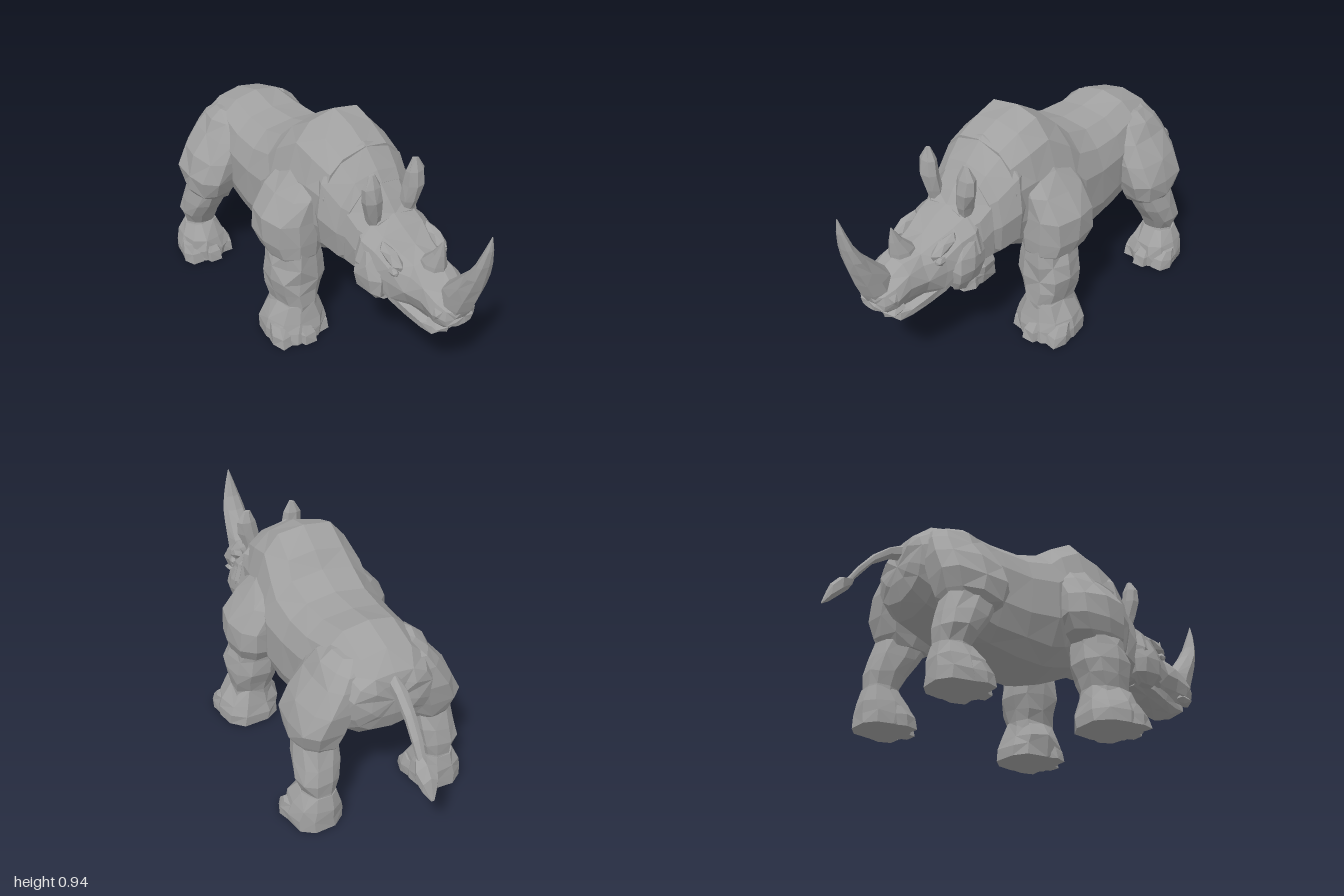
import * as THREE from 'three';

const hide = new THREE.MeshStandardMaterial({ color: 0xa0a0a0, flatShading: true });
hide.name = 'greyHide';

// Small repeatable unevenness, the same on both sides of the body
const noise = (x, y, z, k) => {
  const v = Math.sin(Math.abs(x) * 127.1 + y * 311.7 + z * 74.7 + k * 19.3) * 43758.5;
  return v - Math.floor(v) - 0.5;
};
const power = (v, p) => Math.sign(v) * Math.pow(Math.abs(v), p);

// Cross-section facing z: [z, yBottom, yTop, halfWidth]
function ringZ([z, y0, y1, w], n, p) {
  return Array.from({ length: n }, (_, i) => {
    const a = (i + 0.5) / n * Math.PI * 2 + (n % 4 ? 0 : Math.PI / n);
    return [power(Math.cos(a), p) * w, (y0 + y1) / 2 + power(Math.sin(a), p) * (y1 - y0) / 2, z];
  });
}
// Cross-section facing y: [y, xInner, xOuter, zBack, zFront]; s picks the side
function ringY([y, x0, x1, z0, z1], n, p, s) {
  return Array.from({ length: n }, (_, i) => {
    const a = i / n * Math.PI * 2;
    return [s * (x0 + x1) / 2 + power(Math.cos(a), p) * (x1 - x0) / 2, y,
      (z0 + z1) / 2 - power(Math.sin(a), p) * (z1 - z0) / 2];
  });
}

// Skin a row of rings and close both ends
function loft(name, rings, rough) {
  const pos = [], n = rings[0].length;
  const pts = rings.map(r => r.map(([x, y, z]) => [
    x + Math.sign(x) * noise(x, y, z, 1) * rough,
    y + (y > 0.01 ? noise(x, y, z, 2) * rough : 0),
    z + noise(x, y, z, 3) * rough]));
  const mid = r => [0, 1, 2].map(k => r.reduce((t, q) => t + q[k], 0) / n);
  const tri = (a, b, c) => pos.push(...a, ...b, ...c);
  for (let j = 0; j < pts.length - 1; j++) {
    for (let i = 0; i < n; i++) {
      const k = (i + 1) % n, A = pts[j], B = pts[j + 1];
      if ((i + j) % 2) { tri(A[i], A[k], B[k]); tri(A[i], B[k], B[i]); }
      else { tri(A[i], A[k], B[i]); tri(A[k], B[k], B[i]); }
    }
  }
  const first = pts[0], last = pts[pts.length - 1], c0 = mid(first), c1 = mid(last);
  for (let i = 0; i < n; i++) {
    const k = (i + 1) % n;
    tri(c0, first[k], first[i]);
    tri(c1, last[i], last[k]);
  }
  const g = new THREE.BufferGeometry();
  g.setAttribute('position', new THREE.Float32BufferAttribute(pos, 3));
  g.computeVertexNormals();
  const m = new THREE.Mesh(g, hide);
  m.name = name;
  return m;
}
const alongZ = (name, rows, n = 12, p = 0.85, rough = 0.014) =>
  loft(name, rows.map(r => ringZ(r, n, p)), rough);
const alongY = (name, rows, s = 1, n = 10, p = 0.8, rough = 0.014) =>
  loft(name, rows.map(r => ringY(r, n, p, s)), rough);

function lump(name, x, y, z, sx, sy, sz, tilt = 0) {
  const m = new THREE.Mesh(new THREE.IcosahedronGeometry(1, 0), hide);
  m.name = name;
  m.position.set(x, y, z);
  m.scale.set(sx, sy, sz);
  m.rotation.x = tilt;
  return m;
}

export function createModel() {
  const rhino = new THREE.Group();
  rhino.name = 'rhinoceros';

  // Body with shoulder hump, sagging belly and raised rump
  rhino.add(alongZ('torso', [
    [-0.7, 0.52, 0.67, 0.1], [-0.68, 0.45, 0.71, 0.17], [-0.62, 0.39, 0.77, 0.2],
    [-0.47, 0.33, 0.815, 0.21], [-0.33, 0.29, 0.78, 0.235], [-0.2, 0.265, 0.785, 0.25],
    [-0.07, 0.248, 0.815, 0.26], [-0.01, 0.255, 0.88, 0.25], [0.1, 0.29, 0.945, 0.235],
    [0.2, 0.34, 0.915, 0.23], [0.3, 0.38, 0.865, 0.21],
  ], 14, 0.8));

  // Neck folds and head
  rhino.add(alongZ('neckFold', [
    [0.24, 0.38, 0.87, 0.21], [0.29, 0.36, 0.87, 0.225], [0.37, 0.355, 0.78, 0.2], [0.4, 0.38, 0.74, 0.17]]));
  rhino.add(alongZ('neck', [
    [0.33, 0.38, 0.76, 0.17], [0.39, 0.35, 0.755, 0.18], [0.45, 0.34, 0.69, 0.17], [0.49, 0.36, 0.64, 0.15]]));
  rhino.add(alongZ('head', [
    [0.42, 0.37, 0.67, 0.15], [0.48, 0.34, 0.65, 0.185], [0.55, 0.33, 0.615, 0.17],
    [0.62, 0.32, 0.57, 0.145], [0.69, 0.32, 0.55, 0.112], [0.77, 0.325, 0.535, 0.1],
    [0.83, 0.32, 0.5, 0.1], [0.88, 0.34, 0.46, 0.08], [0.905, 0.37, 0.43, 0.05]]));
  rhino.add(alongZ('lowerJaw', [
    [0.5, 0.345, 0.41, 0.11], [0.6, 0.31, 0.39, 0.11], [0.69, 0.285, 0.37, 0.1],
    [0.76, 0.262, 0.345, 0.09], [0.81, 0.275, 0.335, 0.08], [0.85, 0.31, 0.34, 0.05]], 10));

  // Horns, wide at the base and swept forward to a point
  rhino.add(alongY('frontHorn', [
    [0.385, -0.06, 0.06, 0.8, 0.9], [0.44, -0.068, 0.068, 0.78, 0.93], [0.5, -0.067, 0.067, 0.8, 0.953],
    [0.56, -0.062, 0.062, 0.855, 0.97], [0.62, -0.055, 0.055, 0.908, 0.982],
    [0.68, -0.04, 0.04, 0.945, 0.992], [0.75, -0.02, 0.02, 0.97, 0.998], [0.81, -0.001, 0.001, 0.99, 0.994]],
  1, 8, 1, 0));
  rhino.add(alongY('rearHorn', [
    [0.49, -0.055, 0.055, 0.64, 0.78], [0.55, -0.045, 0.045, 0.67, 0.78],
    [0.6, -0.024, 0.024, 0.72, 0.777], [0.665, -0.001, 0.001, 0.764, 0.767]], 1, 8, 1, 0));

  // Tail curving down to a tuft
  rhino.add(alongZ('tail', [
    [-0.91, 0.43, 0.475, 0.018], [-0.87, 0.49, 0.535, 0.022], [-0.81, 0.565, 0.61, 0.026],
    [-0.74, 0.615, 0.67, 0.027], [-0.66, 0.63, 0.71, 0.03]], 6, 1, 0.004));
  rhino.add(alongZ('tailTuft', [
    [-1, 0.335, 0.345, 0.008], [-0.975, 0.35, 0.425, 0.035], [-0.94, 0.385, 0.465, 0.05],
    [-0.9, 0.425, 0.475, 0.025], [-0.885, 0.455, 0.485, 0.015]], 6, 1, 0.003));

  for (const s of [1, -1]) {
    // Face details
    rhino.add(alongY('ear', [
      [0.61, 0.06, 0.11, 0.43, 0.49], [0.67, 0.055, 0.13, 0.435, 0.505], [0.74, 0.06, 0.155, 0.44, 0.515],
      [0.8, 0.07, 0.157, 0.445, 0.505], [0.85, 0.095, 0.125, 0.465, 0.48]], s, 7, 1, 0.006));
    rhino.add(lump('brow', s * 0.115, 0.555, 0.61, 0.03, 0.025, 0.08, 0.45));
    rhino.add(lump('eye', s * 0.128, 0.505, 0.64, 0.017, 0.018, 0.028));
    rhino.add(alongY('jowl', [
      [0.335, 0.1, 0.145, 0.5, 0.58], [0.38, 0.09, 0.185, 0.455, 0.6], [0.44, 0.09, 0.2, 0.44, 0.6],
      [0.49, 0.09, 0.185, 0.44, 0.58], [0.55, 0.08, 0.165, 0.45, 0.55]], s, 7));
    rhino.add(lump('nostril', s * 0.08, 0.41, 0.835, 0.024, 0.035, 0.035));
    rhino.add(lump('lip', s * 0.055, 0.35, 0.83, 0.05, 0.025, 0.055, 0.2));

    // Front leg under a heavy shoulder plate
    rhino.add(alongY('shoulder', [
      [0.365, 0.14, 0.335, 0.04, 0.24], [0.4, 0.13, 0.36, -0.02, 0.26], [0.46, 0.12, 0.368, -0.055, 0.26],
      [0.555, 0.1, 0.37, -0.065, 0.255], [0.65, 0.07, 0.295, -0.06, 0.25],
      [0.73, 0.04, 0.228, -0.03, 0.23], [0.79, 0.03, 0.18, 0.02, 0.18]], s));
    rhino.add(alongY('frontLeg', [
      [0.1, 0.16, 0.365, 0.06, 0.27], [0.165, 0.172, 0.35, 0.06, 0.27], [0.22, 0.15, 0.36, 0.045, 0.265],
      [0.28, 0.132, 0.368, 0.025, 0.265], [0.35, 0.125, 0.355, 0.03, 0.262], [0.42, 0.14, 0.34, 0.03, 0.25]], s));
    rhino.add(alongY('frontFoot', [
      [0, 0.145, 0.41, 0.035, 0.3], [0.05, 0.135, 0.405, 0.03, 0.3],
      [0.095, 0.135, 0.395, 0.045, 0.285], [0.165, 0.172, 0.35, 0.065, 0.265]], s));

    // Hind leg under a thigh plate
    rhino.add(alongY('thigh', [
      [0.35, 0.17, 0.33, -0.62, -0.41], [0.39, 0.15, 0.355, -0.65, -0.37], [0.47, 0.12, 0.365, -0.67, -0.345],
      [0.56, 0.09, 0.325, -0.68, -0.335], [0.65, 0.06, 0.26, -0.67, -0.345],
      [0.71, 0.04, 0.215, -0.64, -0.38], [0.75, 0.03, 0.17, -0.59, -0.43]], s));
    rhino.add(alongY('hindLeg', [
      [0.1, 0.2, 0.35, -0.675, -0.5], [0.17, 0.2, 0.34, -0.665, -0.525], [0.23, 0.185, 0.36, -0.675, -0.495],
      [0.3, 0.175, 0.36, -0.66, -0.445], [0.4, 0.17, 0.34, -0.62, -0.395]], s));
    rhino.add(alongY('hindFoot', [
      [0, 0.175, 0.39, -0.69, -0.45], [0.05, 0.17, 0.395, -0.69, -0.45],
      [0.1, 0.18, 0.375, -0.685, -0.47], [0.165, 0.2, 0.345, -0.665, -0.52]], s));

    // Three toes on each foot
    for (const [name, cx, cz, w] of [['frontToe', 0.28, 0.26, 0.095], ['hindToe', 0.285, -0.49, 0.082]]) {
      for (const t of [-1, 0, 1]) {
        const x = cx + t * w, z = cz - Math.abs(t) * 0.035;
        rhino.add(alongY(name, [
          [0, x - 0.045, x + 0.045, z - 0.06, z + 0.065], [0.045, x - 0.045, x + 0.045, z - 0.06, z + 0.055],
          [0.085, x - 0.03, x + 0.03, z - 0.06, z + 0.02]], s, 6, 0.8, 0.008));
      }
    }
  }
  return rhino;
}
